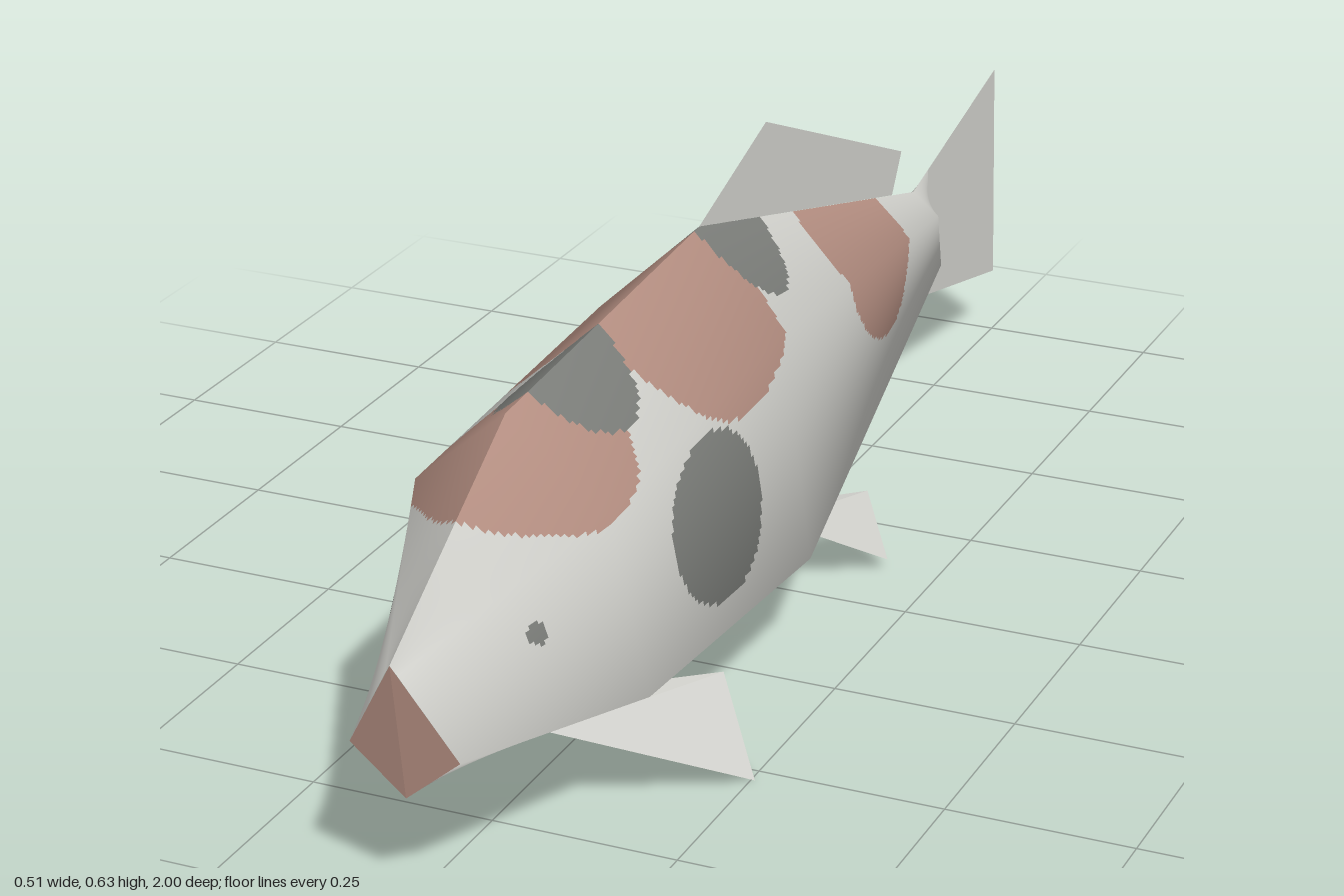
import * as THREE from 'three';

const mat = (name, color, side = THREE.FrontSide) => {
  const m = new THREE.MeshStandardMaterial({ color, side });
  m.name = name;
  return m;
};

// Half cross-sections from nose to tail: ridge, shoulder, flank, keel as [x, y, z]
const SECTIONS = [
  [[0, 0.33, 1.0], [0.008, 0.317, 0.997], [0.073, 0.203, 0.97], [0, 0.142, 0.97]],
  [[0, 0.525, 0.69], [0.13, 0.412, 0.68], [0.178, 0.172, 0.67], [0, 0.113, 0.68]],
  [[0, 0.565, 0.12], [0.13, 0.443, 0.15], [0.185, 0.148, 0.18], [0, 0.063, 0.2]],
  [[0, 0.35, -0.65], [0.04, 0.318, -0.65], [0.046, 0.242, -0.65], [0, 0.208, -0.65]],
  [[0, 0.365, -0.71], [0, 0.31, -0.71], [0, 0.22, -0.71], [0, 0.165, -0.71]],
];

// Painted patches: [material index, side (0 = both), centre z, centre y, radius z, radius y]
const PATCHES = [
  [2, 0, 0.81, 0.305, 0.014, 0.014], // eye
  [2, 1, 0.41, 0.3, 0.128, 0.106],
  [2, -1, 0.43, 0.3, 0.11, 0.1],
  [2, 0, 0.53, 0.545, 0.1, 0.087],
  [2, 0, 0.02, 0.56, 0.115, 0.105],
  [2, -1, -0.285, 0.4, 0.1, 0.165],
  [1, 0, 0.69, 0.5, 0.168, 0.103],
  [1, 1, 0.27, 0.53, 0.178, 0.142],
  [1, -1, 0.26, 0.51, 0.178, 0.23],
  [1, 1, -0.34, 0.41, 0.165, 0.147],
];

function patchAt(side, y, z) {
  const hit = PATCHES.find(([, s, cz, cy, rz, ry]) =>
    (s === 0 || s === side) && ((z - cz) / rz) ** 2 + ((y - cy) / ry) ** 2 < 1);
  return hit ? hit[0] : 0;
}

// Body: a coarse half shell gives smooth normals, then each panel is divided finely and painted
function bodyGeometry() {
  const cols = SECTIONS.length;
  const coarse = new THREE.PlaneGeometry(1, 1, cols - 1, 3);
  const cp = coarse.attributes.position;
  for (let i = 0; i < cols; i++)
    for (let j = 0; j < 4; j++) cp.setXYZ(j * cols + i, ...SECTIONS[i][j]);
  coarse.computeVertexNormals();
  const cn = coarse.attributes.normal;

  const positions = [], normals = [], lists = [[], [], []];
  const spans = [46, 74, 108, 8], strips = [22, 36, 22];
  const blend = (attr, i, j, u, v) => {
    const at = (di, dj) => new THREE.Vector3().fromBufferAttribute(attr, (j + dj) * cols + i + di);
    return at(0, 0).lerp(at(1, 0), u).lerp(at(0, 1).lerp(at(1, 1), u), v);
  };

  for (const side of [1, -1])
    spans.forEach((nu, i) => strips.forEach((nv, j) => {
      const start = positions.length / 3;
      for (let b = 0; b <= nv; b++)
        for (let a = 0; a <= nu; a++) {
          const p = blend(cp, i, j, a / nu, b / nv);
          const n = blend(cn, i, j, a / nu, b / nv).normalize();
          positions.push(p.x * side, p.y, p.z);
          normals.push(n.x * side, n.y, n.z);
        }
      for (let b = 0; b < nv; b++)
        for (let a = 0; a < nu; a++) {
          const c = blend(cp, i, j, (a + 0.5) / nu, (b + 0.5) / nv);
          const p = start + b * (nu + 1) + a, q = p + nu + 1;
          const list = lists[patchAt(side, c.y, c.z)];
          if (side > 0) list.push(p, q, p + 1, q, q + 1, p + 1);
          else list.push(p, p + 1, q, q, p + 1, q + 1);
        }
    }));

  const geo = new THREE.BufferGeometry();
  geo.setAttribute('position', new THREE.Float32BufferAttribute(positions, 3));
  geo.setAttribute('normal', new THREE.Float32BufferAttribute(normals, 3));
  geo.setIndex(lists.flat());
  let offset = 0;
  lists.forEach((list, k) => {
    geo.addGroup(offset, list.length, k);
    offset += list.length;
  });
  return geo;
}

// Flat polygon drawn as a fan around its first corner
function fan(points) {
  const flat = [];
  for (let i = 1; i < points.length - 1; i++) flat.push(...points[0], ...points[i], ...points[i + 1]);
  const geo = new THREE.BufferGeometry();
  geo.setAttribute('position', new THREE.Float32BufferAttribute(flat, 3));
  geo.computeVertexNormals();
  return geo;
}

export function createModel() {
  const group = new THREE.Group();
  const skin = mat('pale skin', 0xd0d0cb);
  const red = mat('dusty red', 0xb48e81);
  const dark = mat('dark grey', 0x7b7d79);
  const finSkin = mat('pale fin', 0xd0d0cb, THREE.DoubleSide);
  const add = (name, geo, material) => {
    const mesh = new THREE.Mesh(geo, material);
    mesh.name = name;
    group.add(mesh);
  };

  add('body', bodyGeometry(), [skin, red, dark]);

  // Flat diamond mouth closing the front
  const [top, , cheek, chin] = SECTIONS[0];
  add('mouth', fan([top, [-cheek[0], cheek[1], cheek[2]], chin, cheek]), red);

  // Upright fins on the centre line
  add('dorsalFin', fan([[0, 0.565, 0.12], [0, 0.638, -0.1], [0, 0.43, -0.6], [0, 0.374, -0.565]]), finSkin);
  add('tailFin', fan([[0, 0.365, -0.71], [0, 0.435, -0.985], [0, 0.1, -1], [0, 0.165, -0.71]]), finSkin);

  // Paired fins spreading down and out
  const paired = {
    PectoralFin: [[0.07, 0.13, 0.73], [0.1, 0.14, 0.6], [0.175, 0.1, 0.44], [0.255, 0.003, 0.525]],
    PelvicFin: [[0.07, 0.117, 0.03], [0.08, 0.125, -0.03], [0.125, 0.09, -0.17], [0.178, 0.018, -0.115]],
  };
  for (const [name, pts] of Object.entries(paired))
    for (const s of [1, -1])
      add((s > 0 ? 'left' : 'right') + name, fan(pts.map(([x, y, z]) => [x * s, y, z])), finSkin);

  return group;
}
